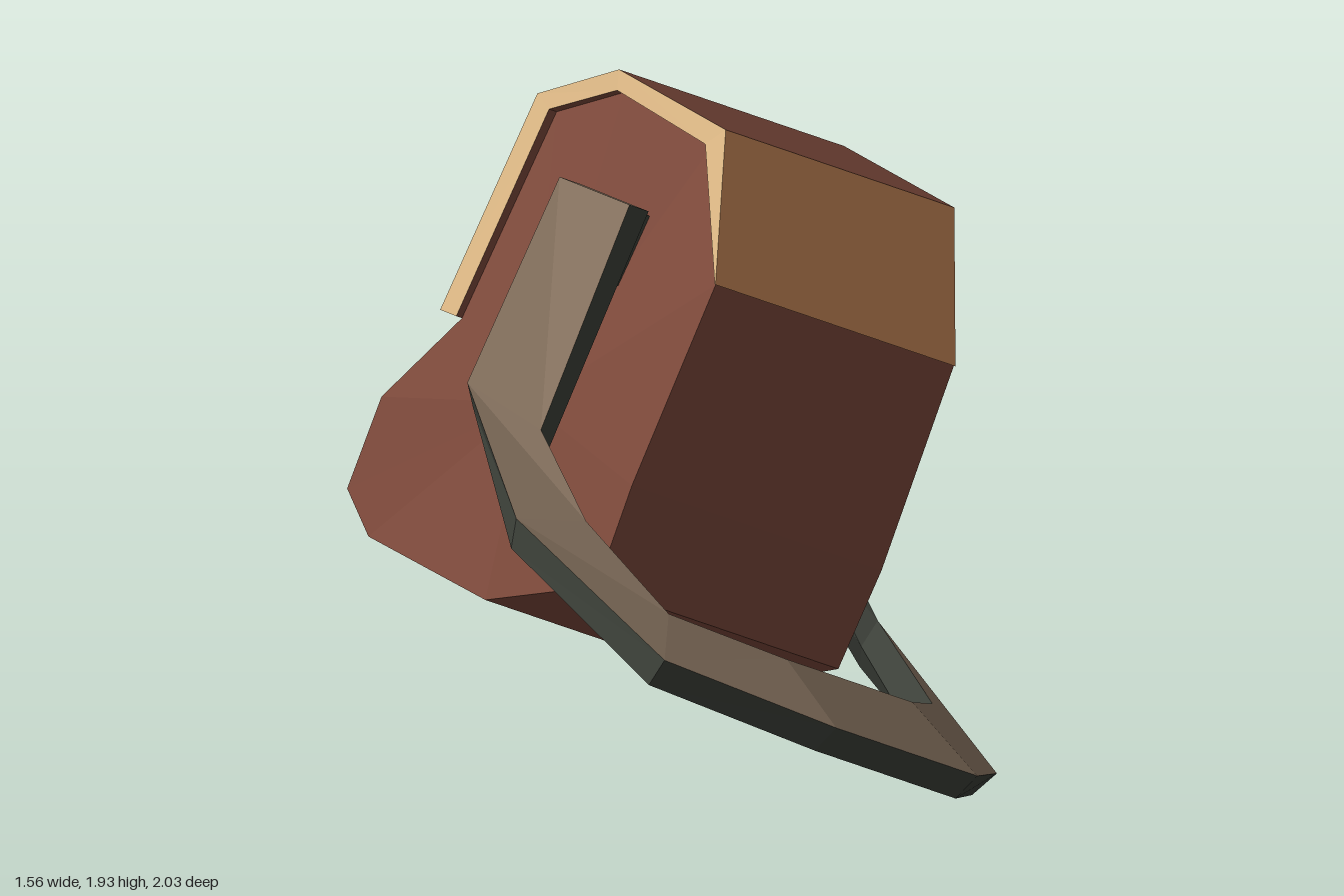
import * as THREE from 'three';

const mat = (name, color) => {
  const m = new THREE.MeshStandardMaterial({ color, flatShading: true, side: THREE.DoubleSide });
  m.name = name;
  return m;
};

export function createModel() {
  const leather = mat('red brown leather', 0x7b483a);
  const trim = mat('orange tan trim', 0xc88858);
  const paleTrim = mat('pale tan trim', 0xd8b482);
  const strapTop = mat('grey brown strap', 0x86725f);
  const strapDark = mat('dark strap edge', 0x3c4039);
  const gold = mat('yellow metal', 0xd0c024);
  const orange = mat('orange metal', 0xb8690c);

  // The bag is built upright: x along its length, y up, z away from the flap front
  const bag = new THREE.Group();
  bag.name = 'bag';

  // Faces are short lists of corners, fanned from the first one
  function addFaces(name, material, faces) {
    const pos = [];
    for (const f of faces)
      for (let i = 1; i < f.length - 1; i++) pos.push(...f[0], ...f[i], ...f[i + 1]);
    const g = new THREE.BufferGeometry();
    g.setAttribute('position', new THREE.Float32BufferAttribute(pos, 3));
    g.computeVertexNormals();
    const mesh = new THREE.Mesh(g, material);
    mesh.name = name;
    bag.add(mesh);
  }
  const at = (p, s) => [p[0] * s, p[1], p[2]];
  const span = (p, q) => [at(p, -1), at(q, -1), at(q, 1), at(p, 1)];

  // Body cross-section: half length, height, depth
  const body = [
    [0.625, 1.269, 0.139], [0.565, 1.565, -0.035], [0.555, 1.605, -0.31], [0.56, 1.505, -0.455],
    [0.61, 0.975, -0.465], [0.64, 0.735, -0.573], [0.625, 0.505, -0.578], [0.62, 0.419, -0.482],
    [0.665, 0.384, -0.108], [0.635, 0.509, 0.138], [0.655, 0.76, 0.14],
  ];
  const next = (i) => body[(i + 1) % body.length];
  addFaces('bodyShell', leather, body.map((p, i) => span(p, next(i))));
  const hub = [0.645, 0.85, -0.2];
  for (const s of [-1, 1])
    addFaces(s < 0 ? 'rightEnd' : 'leftEnd', leather,
      body.map((p, i) => (s < 0 ? [at(hub, s), at(p, s), at(next(i), s)] : [at(hub, s), at(next(i), s), at(p, s)])));

  // Flap wrapping over the top, with a trimmed rim
  const flap = [
    [0.63, 1.269, 0.141], [0.6, 1.614, 0.002], [0.59, 1.652, -0.325],
    [0.6, 1.529, -0.499], [0.64, 0.975, -0.511],
  ];
  const inner = flap.map((p, i) => [p[0], body[i][1], body[i][2]]);
  const idx = [0, 1, 2, 3];
  addFaces('flapBackPanel', trim, [span(flap[0], flap[1])]);
  addFaces('flap', leather, idx.slice(1).map((i) => span(flap[i], flap[i + 1])));
  addFaces('flapLining', leather, idx.map((i) => span(inner[i + 1], inner[i])));
  addFaces('flapLip', trim, [span(flap[4], inner[4])]);
  for (const s of [-1, 1])
    addFaces(s < 0 ? 'rightRim' : 'leftRim', s < 0 ? paleTrim : trim, idx.map((i) => {
      const f = [flap[i], flap[i + 1], inner[i + 1], inner[i]].map((p) => at(p, s));
      return s < 0 ? f.reverse() : f;
    }));

  // Strap sections: outer edge, inner edge, half-thickness vector
  const half = [
    [[0.67, 1.37, -0.3], [0.67, 1.37, -0.1], [0.05, 0.0, 0.0]],
    [[0.8, 0.82, -0.27], [0.73, 0.78, -0.08], [0.035, 0.025, 0.0]],
    [[0.93, 0.56, 0.04], [0.75, 0.61, 0.12], [0.015, 0.035, 0.0]],
    [[0.86, 0.38, 0.49], [0.68, 0.48, 0.36], [0.012, 0.034, 0.014]],
    [[0.37, 0.37, 0.71], [0.33, 0.475, 0.5], [0.0, 0.034, 0.016]],
  ];
  const ring = ([o, n, t], s) => {
    const off = (p, k) => at(p.map((v, i) => v + k * t[i]), s);
    return [off(o, 1), off(n, 1), off(n, -1), off(o, -1)];
  };
  const rings = [...half.map((h) => ring(h, -1)), ...half.slice().reverse().map((h) => ring(h, 1))];
  const top = [], edges = [];
  for (let i = 0; i < rings.length - 1; i++)
    for (let k = 0; k < 4; k++) {
      const a = rings[i], b = rings[i + 1], j = (k + 1) % 4;
      const isTop = k === 0 && i < rings.length - 2;
      (isTop ? top : edges).push([a[k], a[j], b[j], b[k]]);
    }
  addFaces('strapTop', strapTop, top);
  addFaces('strapEdges', strapDark, edges);
  addFaces('strapCaps', strapTop, [rings[0].slice().reverse(), rings[rings.length - 1]]);

  // Mounts joining the strap to both ends
  for (const s of [-1, 1]) {
    const mount = new THREE.Mesh(new THREE.BoxGeometry(0.1, 0.18, 0.18), strapDark);
    mount.name = s < 0 ? 'rightStrapMount' : 'leftStrapMount';
    mount.position.set(s * 0.6, 1.27, -0.2);
    bag.add(mount);
  }

  // Square buckle with clipped corners on the flap
  const shape = new THREE.Shape();
  const R = 0.16, C = 0.125;
  shape.setFromPoints([[C, R], [-C, R], [-R, C], [-R, -C], [-C, -R], [C, -R], [R, -C], [R, C]]
    .map(([x, y]) => new THREE.Vector2(x, y)));
  const hole = new THREE.Path();
  const H = 0.085;
  hole.setFromPoints([[-H, -H], [-H, H], [H, H], [H, -H]].map(([x, y]) => new THREE.Vector2(x, y)));
  shape.holes.push(hole);
  const buckle = new THREE.Mesh(
    new THREE.ExtrudeGeometry(shape, { depth: 0.065, bevelEnabled: false }), [orange, gold]);
  buckle.name = 'buckle';
  buckle.position.set(0, 1.255, -0.57);
  bag.add(buckle);

  // Tip the bag over into its resting pose
  const u = new THREE.Vector3(0.538, -0.546, -0.642).normalize();
  const v = new THREE.Vector3(0.407, 0.841, -0.355);
  v.addScaledVector(u, -v.dot(u)).normalize();
  const w = new THREE.Vector3().crossVectors(u, v);
  bag.quaternion.setFromRotationMatrix(new THREE.Matrix4().makeBasis(u, v, w));
  bag.position.copy(u).multiplyScalar(-0.43);

  const model = new THREE.Group();
  model.name = 'satchel';
  model.add(bag);

  // Rest on the ground, centred
  model.updateMatrixWorld(true);
  const box = new THREE.Box3().setFromObject(model, true);
  const mid = box.getCenter(new THREE.Vector3());
  bag.position.sub(new THREE.Vector3(mid.x, box.min.y, mid.z));
  return model;
}
